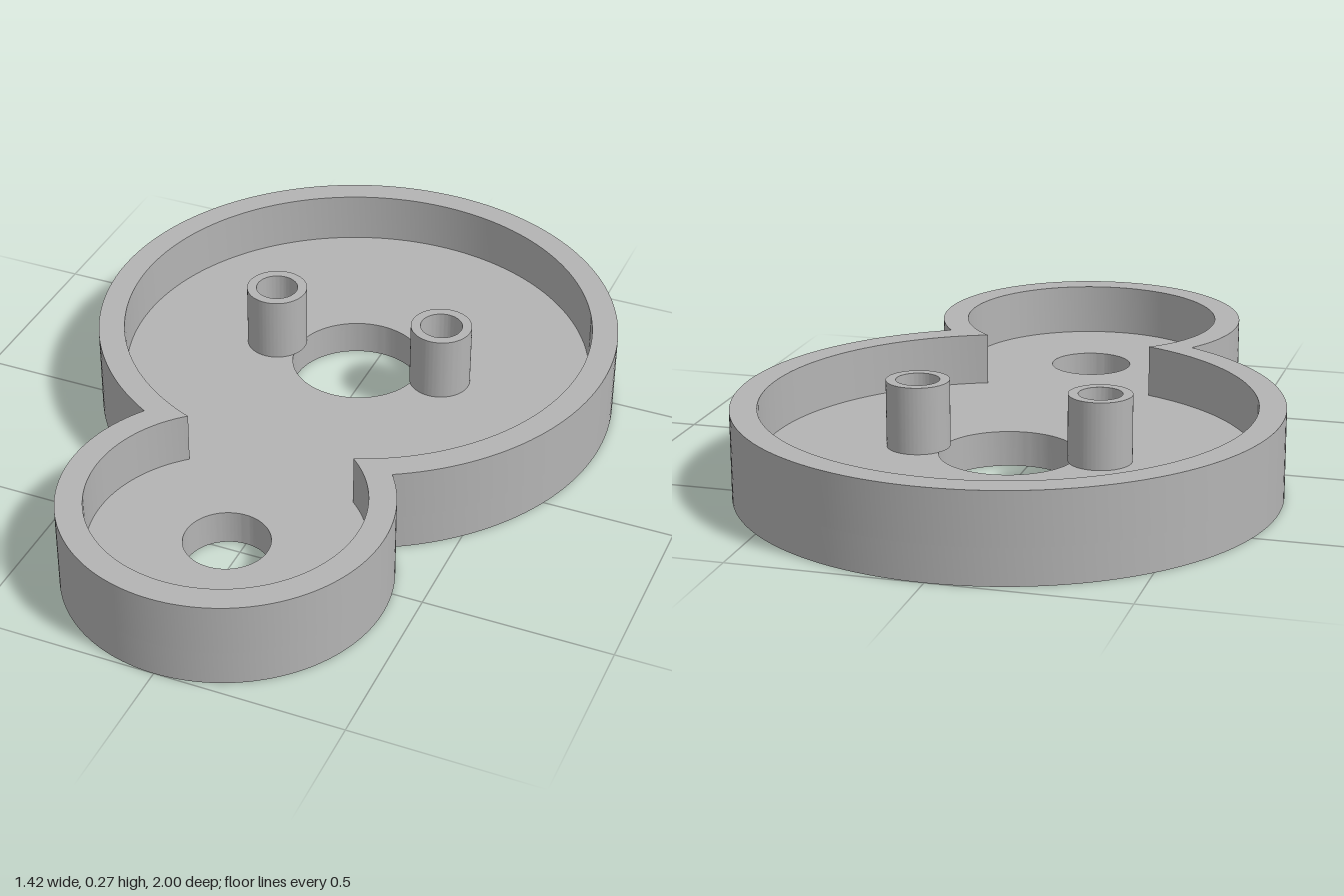
import * as THREE from 'three';
import { toCreasedNormals } from 'three/addons/utils/BufferGeometryUtils.js';

// Plan is drawn with shape y = -z
const BIG = { y: 0.29, r: 0.71 };
const SMALL = { y: -0.575, r: 0.425 };
const WALL = 0.07, FLOOR = 0.095, RIM = 0.235, POST_TOP = 0.273;
const POST_X = 0.243, BORE = 0.057;

// Outline of two overlapping discs, inset by a wall thickness
function outline(inset, Type) {
  const R = BIG.r - inset, r = SMALL.r - inset, d = BIG.y - SMALL.y;
  const a = (d * d + R * R - r * r) / (2 * d);
  const big = Math.acos(a / R), small = Math.acos((d - a) / r);
  const path = new Type();
  path.absarc(0, BIG.y, R, -Math.PI / 2 + big, Math.PI * 1.5 - big, false);
  path.absarc(0, SMALL.y, r, Math.PI / 2 + small, Math.PI * 2.5 - small, false);
  path.closePath();
  return path;
}

function circle(x, y, r, Type) {
  return new Type().absarc(x, y, r, 0, Math.PI * 2, false);
}

// Upright extrusion between two heights, smooth around its curves
function slab(name, shape, bottom, top, material, curveSegments) {
  const geometry = new THREE.ExtrudeGeometry(shape, { depth: top - bottom, bevelEnabled: false, curveSegments });
  geometry.rotateX(-Math.PI / 2);
  geometry.translate(0, bottom, 0);
  const mesh = new THREE.Mesh(toCreasedNormals(geometry, Math.PI / 6), material);
  mesh.name = name;
  return mesh;
}

export function createModel() {
  const group = new THREE.Group();
  group.name = 'twoLobedHousing';
  const grey = new THREE.MeshStandardMaterial({ color: 0xb4b4b4 });
  grey.name = 'grey';

  // Floor plate with shaft holes and post bores
  const floor = outline(0, THREE.Shape);
  floor.holes.push(
    circle(0, BIG.y, 0.18, THREE.Path),
    circle(0, SMALL.y, 0.112, THREE.Path),
    circle(POST_X, BIG.y, BORE, THREE.Path),
    circle(-POST_X, BIG.y, BORE, THREE.Path));
  group.add(slab('floorPlate', floor, 0, FLOOR, grey, 72));

  // Raised surrounding wall
  const wall = outline(0, THREE.Shape);
  wall.holes.push(outline(WALL, THREE.Path));
  group.add(slab('rimWall', wall, FLOOR, RIM, grey, 72));

  // Hollow posts either side of the large hole
  for (const [name, side] of [['leftPost', 1], ['rightPost', -1]]) {
    const post = circle(side * POST_X, BIG.y, 0.083, THREE.Shape);
    post.holes.push(circle(side * POST_X, BIG.y, BORE, THREE.Path));
    group.add(slab(name, post, FLOOR, POST_TOP, grey, 48));
  }
  return group;
}
